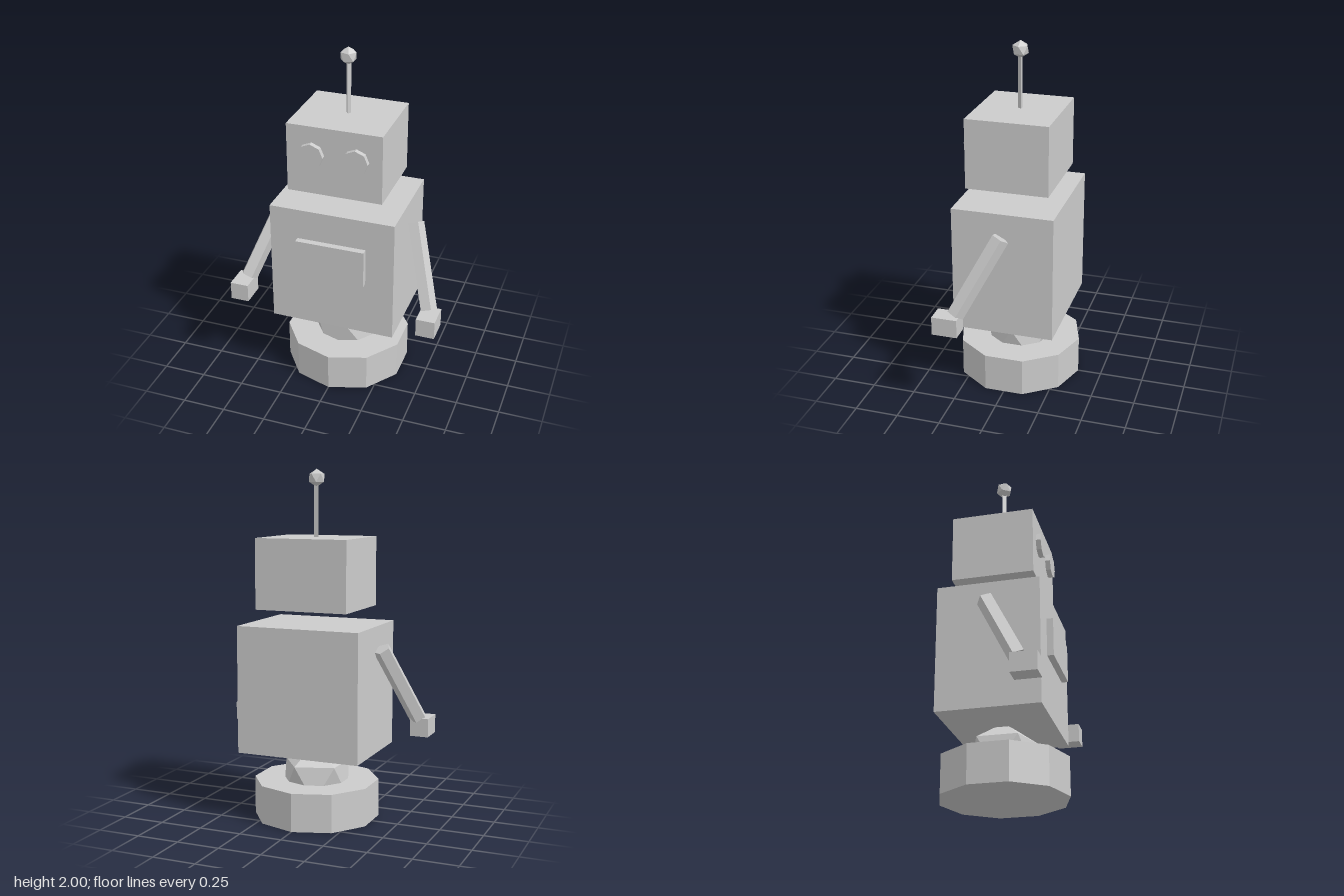
import * as THREE from 'three';

export function createModel() {
  const robot = new THREE.Group();
  robot.name = 'robot';
  const grey = new THREE.MeshStandardMaterial({ color: 0xcccccc });
  grey.name = 'light grey';

  const add = (name, geometry, x, y, z) => {
    const flat = geometry.index ? geometry.toNonIndexed() : geometry;
    flat.computeVertexNormals(); // faceted look on every part
    const mesh = new THREE.Mesh(flat, grey);
    mesh.name = name;
    mesh.position.set(x, y, z);
    robot.add(mesh);
    return mesh;
  };
  const box = (name, w, h, d, x, y, z) => add(name, new THREE.BoxGeometry(w, h, d), x, y, z);
  const prism = (r, h, sides) => new THREE.CylinderGeometry(r, r, h, sides);
  // Icosahedron standing on one corner
  const ball = (r) => new THREE.IcosahedronGeometry(r, 0).rotateZ(-Math.atan(2 / (1 + Math.sqrt(5))));

  // Base and waist
  add('base', prism(0.362, 0.22, 10), 0, 0.11, 0);
  add('waistBall', ball(0.217), 0, 0.223, 0);

  // Torso and floating head
  box('body', 0.726, 0.73, 0.58, 0, 0.765, 0);
  box('chestPlate', 0.4, 0.22, 0.04, 0, 0.84, 0.307);
  box('head', 0.545, 0.4, 0.472, 0, 1.42, 0);

  // Antenna
  add('antennaRod', prism(0.015, 0.32, 3), 0, 1.76, 0);
  add('antennaTip', ball(0.05), 0, 1.95, 0);

  // Mirrored eyes, arms and hands
  for (const [side, s] of [['left', 1], ['right', -1]]) {
    add(side + 'Eye', prism(0.072, 0.04, 8).rotateX(Math.PI / 2), s * 0.127, 1.456, 0.245);

    const shoulder = new THREE.Vector3(s * 0.397, 1.005, -0.003);
    const wrist = new THREE.Vector3(s * 0.547, 0.583, 0.212);
    const along = shoulder.clone().sub(wrist);
    const mid = shoulder.clone().add(wrist).multiplyScalar(0.5);
    const arm = add(side + 'Arm', prism(0.051, along.length(), 5).rotateY(Math.PI), mid.x, mid.y, mid.z);
    arm.quaternion.setFromUnitVectors(new THREE.Vector3(0, 1, 0), along.normalize());

    box(side + 'Hand', 0.108, 0.107, 0.145, s * 0.562, 0.53, 0.254);
  }
  return robot;
}
